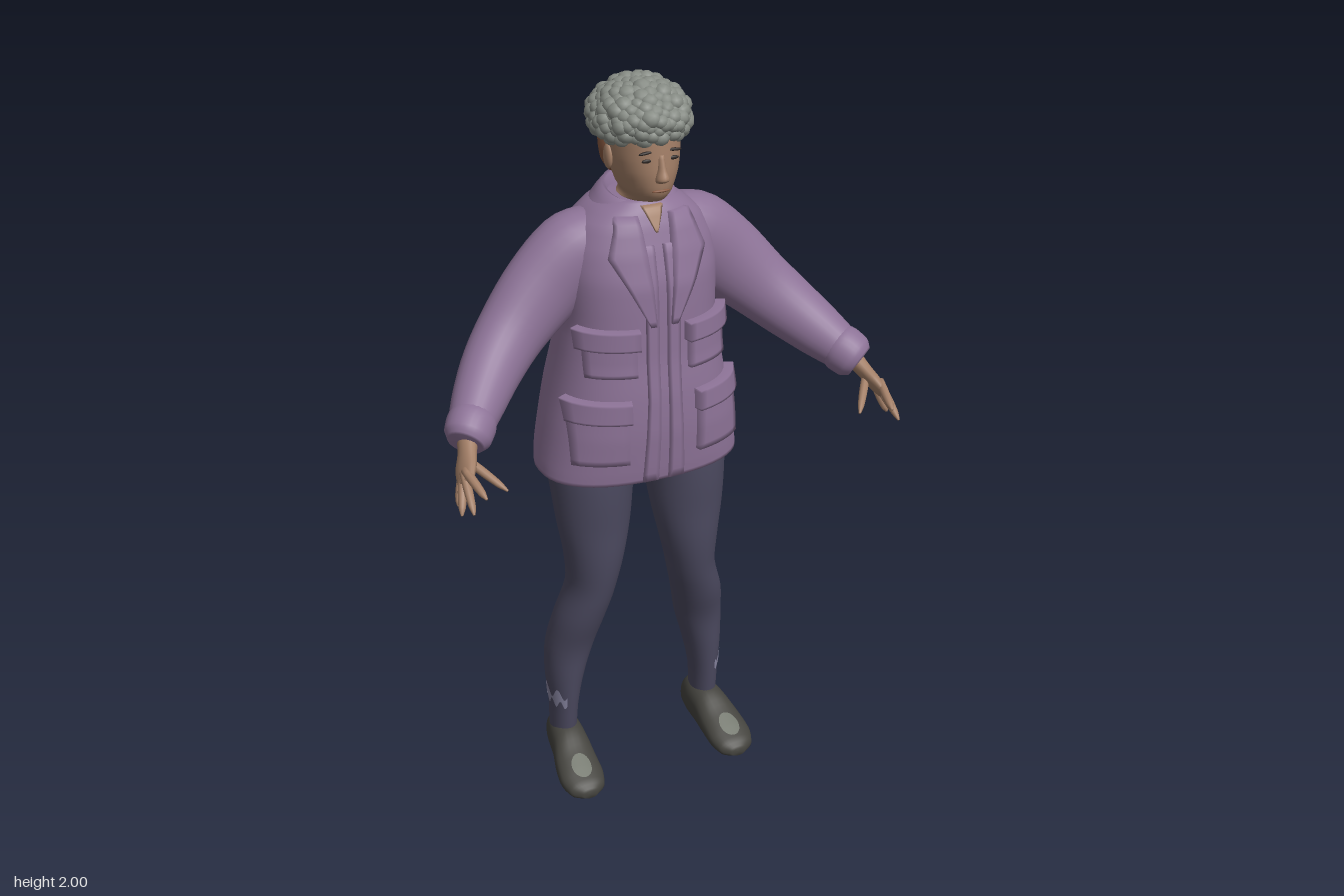
import * as THREE from 'three';
import { mergeGeometries } from 'three/addons/utils/BufferGeometryUtils.js';

const V = (x, y, z) => new THREE.Vector3(x, y, z);
const mat = (name, color, side = THREE.FrontSide) => {
  const m = new THREE.MeshStandardMaterial({ color, side });
  m.name = name;
  return m;
};

// Indexed grid surface; wrap joins the last column to the first
function grid(rows, wrap, capped) {
  const n = rows[0].length, pos = rows.flat().flatMap(p => [p.x, p.y, p.z]), idx = [];
  for (let i = 0; i < rows.length - 1; i++)
    for (let j = 0; j < (wrap ? n : n - 1); j++) {
      const k = (j + 1) % n, a = i * n + j, b = i * n + k, c = b + n, d = a + n;
      idx.push(a, b, c, a, c, d);
    }
  if (capped) [0, rows.length - 1].forEach((r, end) => {
    const mid = rows[r].reduce((s, p) => s.add(p), V(0, 0, 0)).divideScalar(n);
    const m = pos.length / 3;
    pos.push(mid.x, mid.y, mid.z);
    for (let j = 0; j < n; j++) {
      const a = r * n + j, b = r * n + (j + 1) % n;
      end ? idx.push(m, a, b) : idx.push(m, b, a);
    }
  });
  const g = new THREE.BufferGeometry();
  g.setAttribute('position', new THREE.Float32BufferAttribute(pos, 3));
  g.setIndex(idx);
  g.computeVertexNormals();
  return g;
}

const sheet = (fn, nu, nv) => grid(Array.from({ length: nv + 1 }, (_, i) =>
  Array.from({ length: nu + 1 }, (_, j) => V(...fn(j / nu, i / nv)))), false, false);

// Loft through stations [x, y, z, a, b]; axis 'y' or 'z' fixes the ring plane, 'path' follows the curve
function loft(st, axis, { n = 28, power = 2, sub = 4 } = {}) {
  const curve = new THREE.CatmullRomCurve3(st.map(s => V(s[0], s[1], s[2])));
  const radii = new THREE.CatmullRomCurve3(st.map(s => V(s[3], s[4], 0)));
  const rows = [], steps = (st.length - 1) * sub, e = 2 / power;
  for (let i = 0; i <= steps; i++) {
    const c = curve.getPoint(i / steps), r = radii.getPoint(i / steps);
    let u = V(0, 0, 1), v = V(1, 0, 0);
    if (axis === 'z') { u = V(1, 0, 0); v = V(0, 1, 0); }
    if (axis === 'path') {
      const t = curve.getTangent(i / steps);
      u = V(0, 0, 0).crossVectors(t, V(0, 0, 1)).normalize();
      v = V(0, 0, 0).crossVectors(t, u);
    }
    rows.push(Array.from({ length: n }, (_, j) => {
      const q = j / n * Math.PI * 2, C = Math.cos(q), S = Math.sin(q);
      return c.clone().addScaledVector(u, Math.sign(C) * Math.abs(C) ** e * r.x)
        .addScaledVector(v, Math.sign(S) * Math.abs(S) ** e * r.y);
    }));
  }
  return grid(rows, true, true);
}

// Upright profile rows [y, frontZ, backZ, halfWidth] to loft stations
const upright = rows => rows.map(([y, f, b, w]) => [0, y, (f + b) / 2, (f - b) / 2, w]);

// Linear lookup in a station list along one coordinate
function lookup(st, k, t) {
  let i = 0;
  while (i < st.length - 2 && st[i + 1][k] < t) i++;
  const f = THREE.MathUtils.clamp((t - st[i][k]) / (st[i + 1][k] - st[i][k]), 0, 1);
  return st[i].map((s, j) => s + (st[i + 1][j] - s) * f);
}

const TORSO = upright([
  [0.96, 0.08, -0.27, 0.276], [1.0, 0.085, -0.286, 0.272], [1.1, 0.092, -0.292, 0.255],
  [1.2, 0.09, -0.29, 0.235], [1.3, 0.08, -0.265, 0.216], [1.4, 0.077, -0.25, 0.202],
  [1.5, 0.072, -0.252, 0.205], [1.58, 0.052, -0.238, 0.195], [1.64, 0.032, -0.218, 0.165],
  [1.675, 0.015, -0.202, 0.125], [1.7, -0.005, -0.185, 0.08]]);
const TORSO_POWER = 2.4;

// Raised panel lying on the jacket front, its rim sunk into the cloth
function panel(s, x0, x1, y0, y1, thick, nu = 10, nv = 12) {
  return sheet((u, v) => {
    const cl = t => THREE.MathUtils.clamp(t, 0, 1);
    const rim = u === 0 || u === 1 || v === 0 || v === 1;
    const uu = cl((u - 1 / nu) / (1 - 2 / nu)), vv = cl((v - 1 / nv) / (1 - 2 / nv));
    const y = y0 + (y1 - y0) * vv, a = x0(y), x = a + (x1(y) - a) * uu;
    const [, , cz, rz, rx] = lookup(TORSO, 1, y);
    const z = rz * Math.max(0, 1 - Math.abs(x / rx) ** TORSO_POWER) ** (1 / TORSO_POWER);
    const d = V(x / rx ** 2, 0, z / rz ** 2).normalize().multiplyScalar(rim ? -0.012 : thick);
    return [s * (x + d.x), y, cz + z + d.z];
  }, nu, nv);
}

export function createModel() {
  const root = new THREE.Group();
  const D = THREE.DoubleSide;
  const jacket = mat('lavender cloth', 0x8d7397, D), trousers = mat('dark slate cloth', 0x4b495f);
  const shoes = mat('charcoal shoe', 0x44433e), hair = mat('grey hair', 0x878c85);
  const skin = mat('skin', 0xa37f67, D), nape = mat('shaded skin', 0x85573f);
  const pale = mat('pale legwear', 0x8785a0, D), toe = mat('worn toe', 0x72766c, D);
  const dark = mat('dark feature', 0x2e2724);
  const add = (name, geo, m) => {
    const mesh = new THREE.Mesh(geo, m);
    mesh.name = name;
    root.add(mesh);
    return mesh;
  };
  const blob = (name, m, p, s) => {
    const b = add(name, new THREE.SphereGeometry(1, 16, 10), m);
    b.position.set(...p);
    b.scale.set(...s);
    return b;
  };

  // Jacket body, collar and the open neck
  add('jacketBody', loft(TORSO, 'y', { n: 48, power: TORSO_POWER }), jacket);
  add('collar', sheet((u, v) => {
    const q = (u - 0.5) * 5.3, [r, dy] = [[0.066, -0.04], [0.074, -0.004], [0.082, 0], [0.1, -0.022], [0.122, -0.055]][Math.round(v * 4)];
    return [r * 1.04 * Math.sin(q), 1.695 + 0.021 * (1 + Math.cos(q)) + dy, -0.085 - r * Math.cos(q)];
  }, 32, 4), jacket);
  add('neckOpening', panel(1, y => -0.42 * (y - 1.625), y => 0.42 * (y - 1.625), 1.63, 1.69, 0.008), skin);

  // Head, nape and face
  add('head', loft(upright([
    [1.62, -0.02, -0.14, 0.055], [1.69, -0.015, -0.142, 0.056], [1.712, 0.045, -0.144, 0.048],
    [1.735, 0.064, -0.146, 0.062], [1.78, 0.07, -0.15, 0.079], [1.82, 0.068, -0.155, 0.087],
    [1.87, 0.064, -0.16, 0.09], [1.92, 0.045, -0.145, 0.075], [1.95, 0, -0.1, 0.04]]), 'y'), skin);
  add('nape', loft(upright([[1.75, -0.08, -0.15, 0.06], [1.78, -0.07, -0.155, 0.08],
    [1.82, -0.06, -0.16, 0.088], [1.88, -0.06, -0.165, 0.09]]), 'y'), nape);
  add('nose', loft([[0, 1.768, 0.066, 0.012, 0.015], [0, 1.778, 0.07, 0.022, 0.017],
    [0, 1.8, 0.066, 0.016, 0.011], [0, 1.835, 0.06, 0.01, 0.008]], 'y', { n: 12 }), skin);
  blob('mouth', nape, [0, 1.745, 0.064], [0.024, 0.004, 0.006]);
  for (const s of [1, -1]) {
    blob('eye', dark, [s * 0.035, 1.823, 0.059], [0.014, 0.005, 0.004]);
    blob('eyebrow', dark, [s * 0.037, 1.843, 0.058], [0.02, 0.004, 0.005]).rotation.z = -s * 0.1;
    blob('ear', skin, [s * 0.089, 1.81, -0.05], [0.01, 0.032, 0.02]);
  }

  // Curly hair: lumps spread evenly over a cap
  let seed = 7;
  const rnd = () => (seed = seed * 16807 % 2147483647) / 2147483647;
  const curls = [], count = 210;
  for (let i = 0; i < count; i++) {
    const h = 1 - 1.5 * (i + 0.5) / count, w = Math.sqrt(1 - h * h), q = i * 2.39996;
    const r = 0.017 + 0.01 * rnd(), out = 0.96 + 0.06 * rnd();
    curls.push(new THREE.IcosahedronGeometry(r, 1).rotateX(rnd() * 6).rotateY(rnd() * 6).scale(1, 0.9, 1)
      .translate(0.109 * w * Math.cos(q) * out, 1.898 + 0.08 * h * out + 0.04 * Math.max(0, w * Math.sin(q)) * (h < 0 ? 0.3 : 0),
        -0.062 + 0.124 * w * Math.sin(q) * out));
  }
  add('hairCurls', mergeGeometries(curls), hair);
  blob('hairCap', hair, [0, 1.908, -0.062], [0.107, 0.074, 0.122]);

  // Trouser seat
  blob('trouserSeat', trousers, [0, 0.99, -0.095], [0.22, 0.095, 0.13]);

  for (const s of [1, -1]) {
    const mirror = st => st.map(([x, ...r]) => [s * x, ...r]);
    const K = c => () => c;

    // Front edge, lapel and pockets
    add('frontEdge', panel(s, y => 0.012 + 0.012 * Math.max(0, 1.2 - y), y => 0.045 + 0.05 * Math.max(0, 1.2 - y), 0.965, 1.6, 0.008, 6, 30), jacket);
    add('lapel', panel(s, y => 0.02 + 0.08 * Math.max(0, y - 1.42),
      y => y < 1.58 ? 0.035 + 0.5 * (y - 1.4) : 0.125 - 0.35 * (y - 1.58), 1.4, 1.67, 0.014, 8, 20), jacket);
    add('chestPocket', panel(s, K(0.07), K(0.185), 1.27, 1.37, 0.014), jacket);
    add('chestPocketFlap', panel(s, K(0.062), K(0.192), 1.345, 1.395, 0.026), jacket);
    add('lowerPocket', panel(s, K(0.095), K(0.225), 1.03, 1.18, 0.016), jacket);
    add('lowerPocketFlap', panel(s, K(0.088), K(0.224), 1.15, 1.205, 0.026), jacket);

    // Sleeve and cuff
    add('sleeve', loft(mirror([[0.08, 1.6, -0.1, 0.08, 0.085], [0.165, 1.55, -0.1, 0.112, 0.092],
      [0.255, 1.475, -0.092, 0.107, 0.083], [0.345, 1.39, -0.068, 0.092, 0.078], [0.415, 1.325, -0.025, 0.082, 0.074],
      [0.475, 1.27, 0.035, 0.07, 0.066], [0.525, 1.225, 0.095, 0.055, 0.055]]), 'path'), jacket);
    add('cuff', loft(mirror([[0.5, 1.245, 0.065, 0.055, 0.055], [0.515, 1.235, 0.085, 0.063, 0.061],
      [0.535, 1.217, 0.11, 0.06, 0.058], [0.547, 1.206, 0.123, 0.045, 0.045]]), 'path'), jacket);

    // Hand
    add('palm', loft(mirror([[0.535, 1.215, 0.11, 0.025, 0.028], [0.55, 1.19, 0.145, 0.02, 0.03],
      [0.565, 1.165, 0.175, 0.018, 0.038], [0.576, 1.145, 0.205, 0.012, 0.03]]), 'path', { n: 16 }), skin);
    const fingers = [[[0.57, 1.168, 0.205], [0.555, 1.14, 0.283]], [[0.576, 1.155, 0.2], [0.583, 1.1, 0.272]],
      [[0.58, 1.142, 0.19], [0.602, 1.085, 0.24]], [[0.58, 1.13, 0.175], [0.595, 1.085, 0.195]],
      [[0.55, 1.175, 0.155], [0.488, 1.125, 0.238]]];
    for (const [a, b] of fingers) {
      const at = (f, r) => [...a.map((c, i) => c + (b[i] - c) * f), r, r];
      add('finger', loft(mirror([at(-0.2, 0.011), at(0.3, 0.0115), at(0.8, 0.009), at(1.05, 0.003)]), 'path', { n: 10, sub: 3 }), skin);
    }

    // Trouser leg with the pale ragged band at the ankle
    const leg = [[0.22, 0.1, -0.115, 0.05, 0.036], [0.218, 0.2, -0.112, 0.058, 0.039],
      [0.212, 0.3, -0.115, 0.07, 0.053], [0.197, 0.4, -0.108, 0.073, 0.067], [0.177, 0.5, -0.082, 0.078, 0.07],
      [0.15, 0.6, -0.064, 0.082, 0.067], [0.14, 0.7, -0.06, 0.092, 0.081], [0.137, 0.8, -0.068, 0.103, 0.099],
      [0.135, 0.9, -0.082, 0.122, 0.11], [0.13, 0.98, -0.1, 0.138, 0.12], [0.12, 1.05, -0.1, 0.12, 0.11]];
    add('trouserLeg', loft(mirror(leg), 'y'), trousers);
    add('ankleBand', sheet((u, v) => {
      const q = 0.3 + u * 2.7, y0 = 0.215 + 0.012 * Math.sin(q * 11), y1 = 0.25 + 0.016 * Math.sin(q * 8 + 1);
      const y = y0 + (y1 - y0) * v, [x, , z, a, b] = lookup(leg, 1, y);
      return [s * (x + (b + 0.002) * Math.sin(q)), y, z + (a + 0.002) * Math.cos(q)];
    }, 36, 3), pale);

    // Shoe and its worn toe patch
    const shoe = [[0.213, 0.06, -0.176, 0.015, 0.025], [0.214, 0.072, -0.165, 0.038, 0.054],
      [0.216, 0.076, -0.12, 0.048, 0.064], [0.221, 0.069, -0.06, 0.053, 0.062], [0.228, 0.051, 0, 0.061, 0.046],
      [0.231, 0.038, 0.05, 0.063, 0.035], [0.231, 0.028, 0.09, 0.05, 0.025], [0.23, 0.022, 0.109, 0.02, 0.012]];
    add('shoe', loft(mirror(shoe), 'z', { power: 2.3 }), shoes);
    add('toePatch', sheet((u, v) => {
      const q = u * Math.PI * 2, z = 0.045 + 0.034 * v * Math.sin(q), dx = 0.028 * v * Math.cos(q);
      const [x, y, , a, b] = lookup(shoe, 2, z);
      return [s * (x + dx), y + b * (1 - Math.abs(dx / a) ** 2.3) ** (1 / 2.3) + 0.004, z];
    }, 20, 4), toe);
  }
  return root;
}
